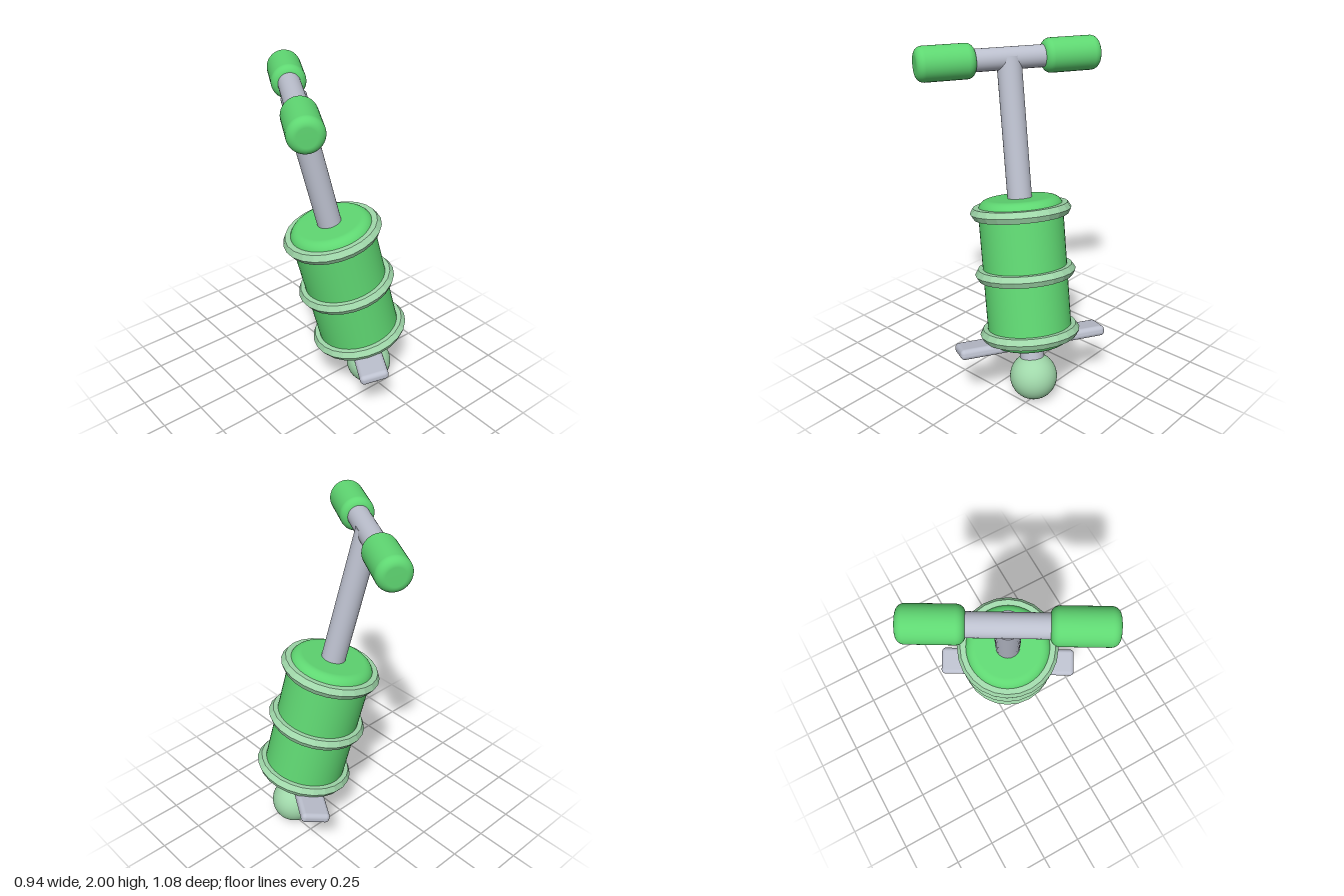
import * as THREE from 'three';
import { RoundedBoxGeometry } from 'three/addons/geometries/RoundedBoxGeometry.js';

const green = new THREE.MeshStandardMaterial({ name: 'bright green', color: 0x5fd772 });
const pale = new THREE.MeshStandardMaterial({ name: 'pale green', color: 0xa0d8aa });
const metal = new THREE.MeshStandardMaterial({ name: 'light grey', color: 0xbcc0ce });

// Upright cylinder, centred on the origin, with rounded rims
function roundedCylinder(radius, height, bevel, steps = 8) {
  const h = height / 2;
  const points = [new THREE.Vector2(0, -h)];
  for (const side of [-1, 1]) {
    for (let i = 0; i <= steps; i++) {
      const a = (side < 0 ? i - steps : i) / steps * Math.PI / 2;
      points.push(new THREE.Vector2(
        radius - bevel + Math.cos(a) * bevel,
        side * (h - bevel) + Math.sin(a) * bevel));
    }
  }
  points.push(new THREE.Vector2(0, h));
  return new THREE.LatheGeometry(points, 48);
}

// Faceted collar with a six-sided section
function collarGeometry() {
  const geometry = new THREE.TorusGeometry(0.25, 0.037, 6, 24).rotateX(Math.PI / 2).toNonIndexed();
  geometry.computeVertexNormals();
  return geometry;
}

export function createModel() {
  const model = new THREE.Group();
  model.name = 'pogoStick';

  // Everything is built along a leaning axis that starts at the ball
  const stick = new THREE.Group();
  stick.name = 'leaningStick';
  stick.position.set(0.235, 0.137, 0.165);
  stick.rotation.set(-0.244, Math.PI / 3, 0, 'YXZ');
  model.add(stick);

  function add(name, geometry, material, x = 0, y = 0) {
    const mesh = new THREE.Mesh(geometry, material);
    mesh.name = name;
    mesh.position.set(x, y, 0);
    stick.add(mesh);
    return mesh;
  }

  // Ball foot and central rod
  add('ballFoot', new THREE.SphereGeometry(0.137, 40, 24), pale);
  add('rod', new THREE.CylinderGeometry(0.069, 0.069, 1.83, 40), metal, 0, 0.915);

  // Barrel with three collars
  add('barrel', roundedCylinder(0.24, 0.85, 0.06), green, 0, 0.63);
  const collar = collarGeometry();
  for (const [i, y] of [0.278, 0.631, 0.984].entries()) add('collar' + (i + 1), collar, pale, 0, y);

  // Foot rest across the bottom of the barrel
  add('footRest', new RoundedBoxGeometry(0.866, 0.06, 0.17, 4, 0.025), metal, 0, 0.222);

  // Handlebar with a grip at each end
  const bar = new THREE.CylinderGeometry(0.062, 0.062, 0.7, 40).rotateZ(Math.PI / 2);
  add('handlebar', bar, metal, 0, 1.822);
  const grip = roundedCylinder(0.096, 0.325, 0.045).rotateZ(Math.PI / 2);
  add('leftGrip', grip, green, 0.358, 1.822);
  add('rightGrip', grip, green, -0.358, 1.822);

  return model;
}
